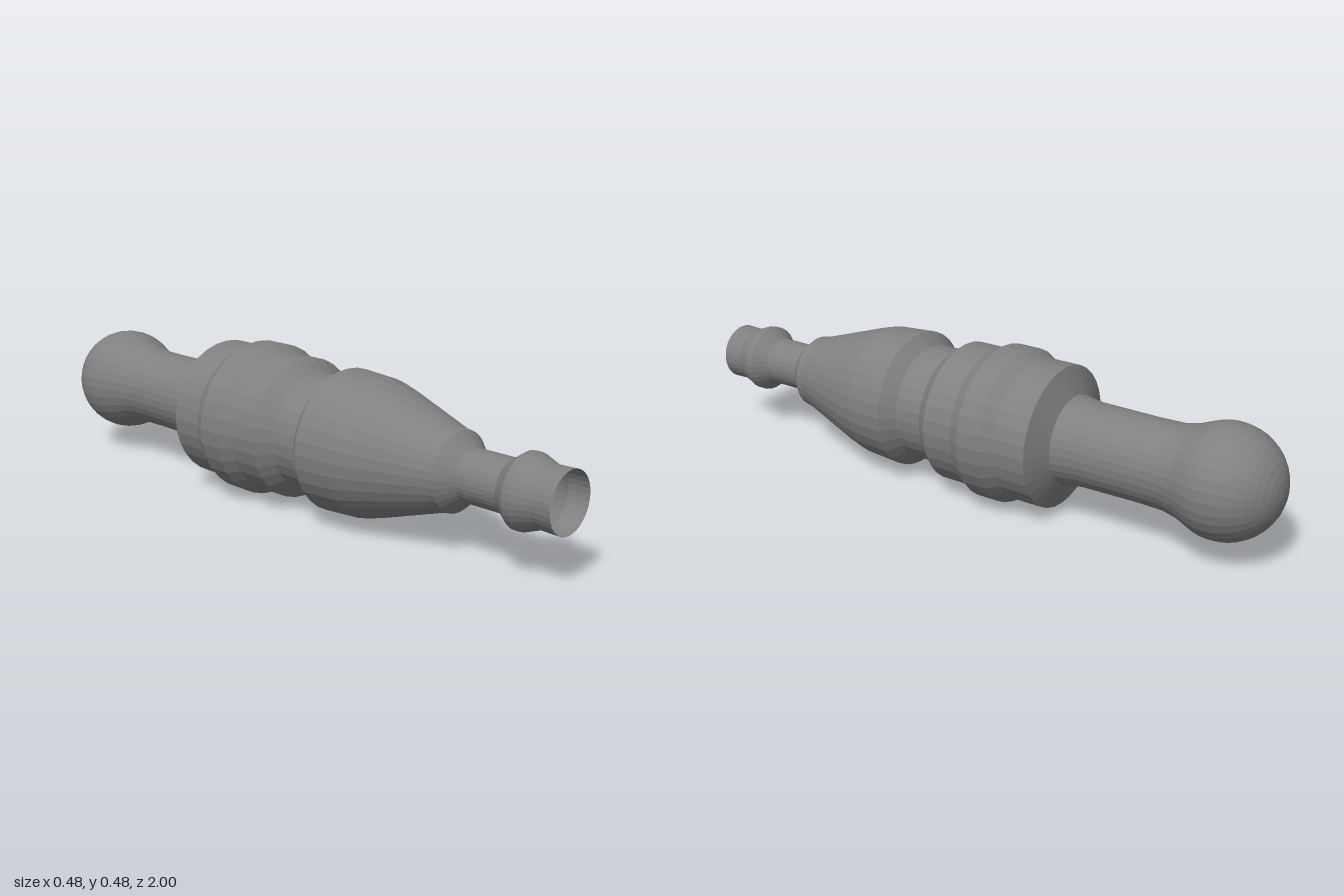
import * as THREE from 'three';

const SIDES = 32;
const AXIS_HEIGHT = 0.238;

// Each section is a list of [z, radius] pairs running from back to front
const sections = {
  handle: [[-0.76, 0.1518], [-0.725, 0.137], [-0.68, 0.127], [-0.6, 0.125], [-0.41, 0.127], [-0.345, 0.136]],
  collar: [[-0.345, 0.136], [-0.31, 0.217], [-0.205, 0.217], [-0.165, 0.238], [-0.092, 0.238], [-0.052, 0.217], [0.045, 0.217], [0.09, 0.18]],
  waist: [[0.09, 0.18], [0.18, 0.18], [0.22, 0.216]],
  taperedBody: [[0.22, 0.216], [0.345, 0.208], [0.4, 0.193], [0.62, 0.121], [0.645, 0.118], [0.69, 0.077]],
  nozzle: [[0.69, 0.077], [0.82, 0.077], [0.862, 0.108], [0.882, 0.108], [0.935, 0.088], [1, 0.09]],
};

// Rounded knob that closes the back of the handle
const knob = { z: -0.832, radius: 0.168, steps: 14 };
const knobEnd = Math.acos((knob.z + 0.76) / knob.radius);
sections.knob = Array.from({ length: knob.steps + 1 }, (_, i) => {
  const a = (i / knob.steps) * knobEnd;
  return [knob.z - knob.radius * Math.cos(a), knob.radius * Math.sin(a)];
});

// Turns a profile around the long axis, which points along z
function turned(name, profile, material) {
  const points = profile.map(([z, r]) => new THREE.Vector2(r, z));
  const geometry = new THREE.LatheGeometry(points, SIDES);
  geometry.rotateX(Math.PI / 2);
  const mesh = new THREE.Mesh(geometry, material);
  mesh.name = name;
  mesh.position.y = AXIS_HEIGHT;
  return mesh;
}

export function createModel() {
  const group = new THREE.Group();
  group.name = 'turnedHandle';
  // Thin hollow shell, open at the nozzle mouth
  const material = new THREE.MeshStandardMaterial({
    color: 0x808080, flatShading: true, side: THREE.DoubleSide,
  });
  for (const [name, profile] of Object.entries(sections)) {
    group.add(turned(name, profile, material));
  }
  return group;
}
